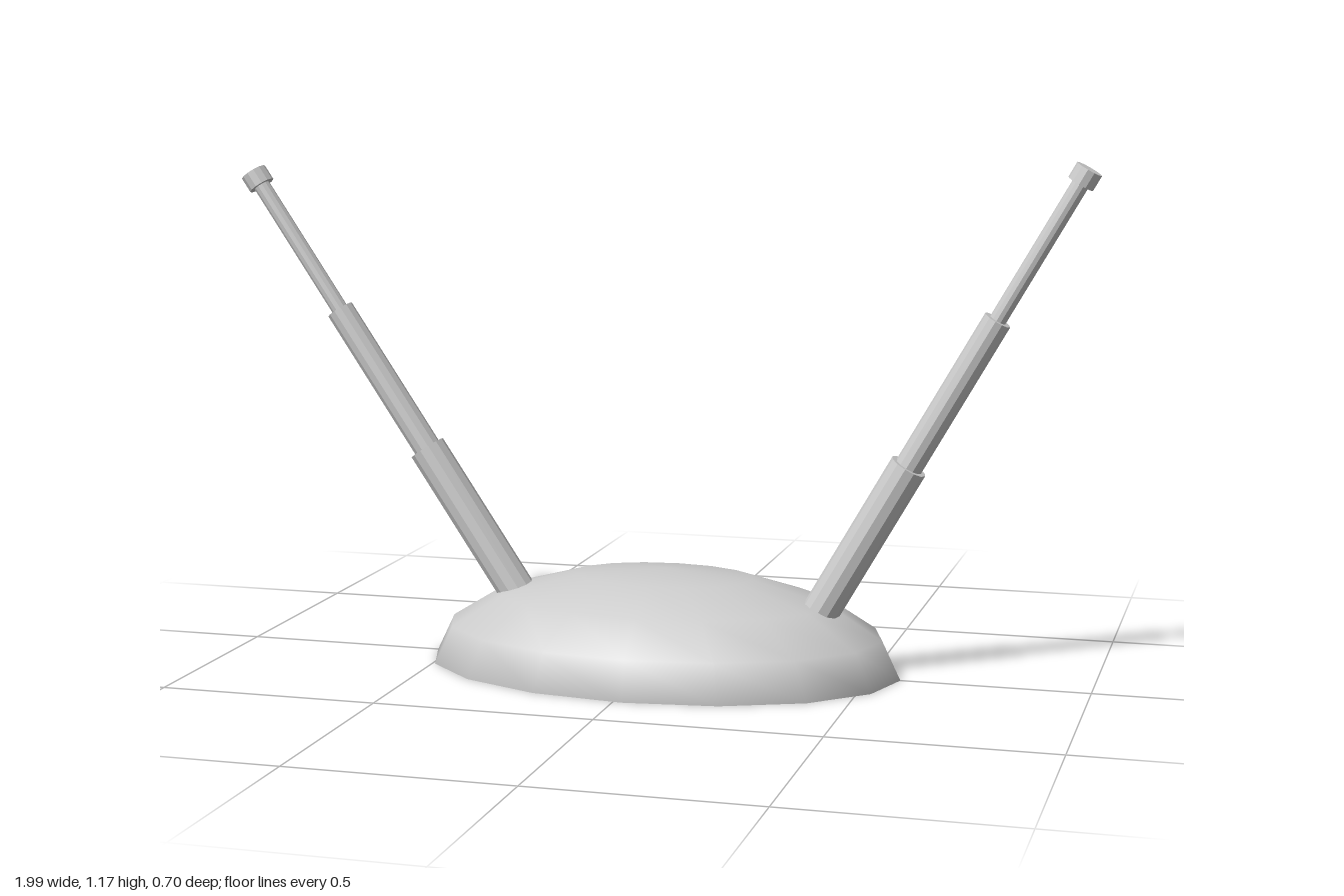
import * as THREE from 'three';

const material = new THREE.MeshStandardMaterial({ color: 0xcccccc });
const flatMaterial = new THREE.MeshStandardMaterial({ color: 0xcccccc, flatShading: true });

// Telescopic rod: stacked tubes given as [start, end, radius] along its axis
function createAntenna(name, foot, tip) {
  const antenna = new THREE.Group();
  antenna.name = name;
  const direction = tip.clone().sub(foot);
  const length = direction.length();
  const sections = [
    ['lowerTube', 0, length - 0.765, 0.047],
    ['middleTube', length - 0.8, length - 0.382, 0.035],
    ['upperTube', length - 0.42, length - 0.02, 0.021],
    ['tipCap', length - 0.037, length, 0.034],
  ];
  for (const [part, start, end, radius] of sections) {
    const geometry = new THREE.CylinderGeometry(radius, radius, end - start, 12);
    geometry.translate(0, (start + end) / 2, 0);
    const tube = new THREE.Mesh(geometry, flatMaterial);
    tube.name = part;
    antenna.add(tube);
  }
  antenna.scale.x = 0.9; // tubes are slightly oval
  antenna.position.copy(foot);
  antenna.rotation.z = -Math.atan2(direction.x, direction.y);
  return antenna;
}

export function createModel() {
  const model = new THREE.Group();
  model.name = 'tabletopAntenna';

  // Oval half-dome base with a flat underside
  const base = new THREE.Group();
  base.name = 'base';
  base.position.x = 0.019;
  base.scale.set(0.554, 0.229, 0.352);
  const dome = new THREE.Mesh(
    new THREE.SphereGeometry(1, 16, 4, 0, Math.PI * 2, 0, Math.PI / 2), material);
  dome.name = 'dome';
  const underside = new THREE.Mesh(new THREE.CircleGeometry(1, 16), material);
  underside.name = 'underside';
  underside.rotation.x = Math.PI / 2;
  base.add(dome, underside);
  model.add(base);

  // The two rods spread at slightly different angles
  const z = 0.017;
  model.add(
    createAntenna('leftAntenna', new THREE.Vector3(0.373, 0.12, z), new THREE.Vector3(0.969, 1.157, z)),
    createAntenna('rightAntenna', new THREE.Vector3(-0.305, 0.12, z), new THREE.Vector3(-0.974, 1.122, z)),
  );
  return model;
}
